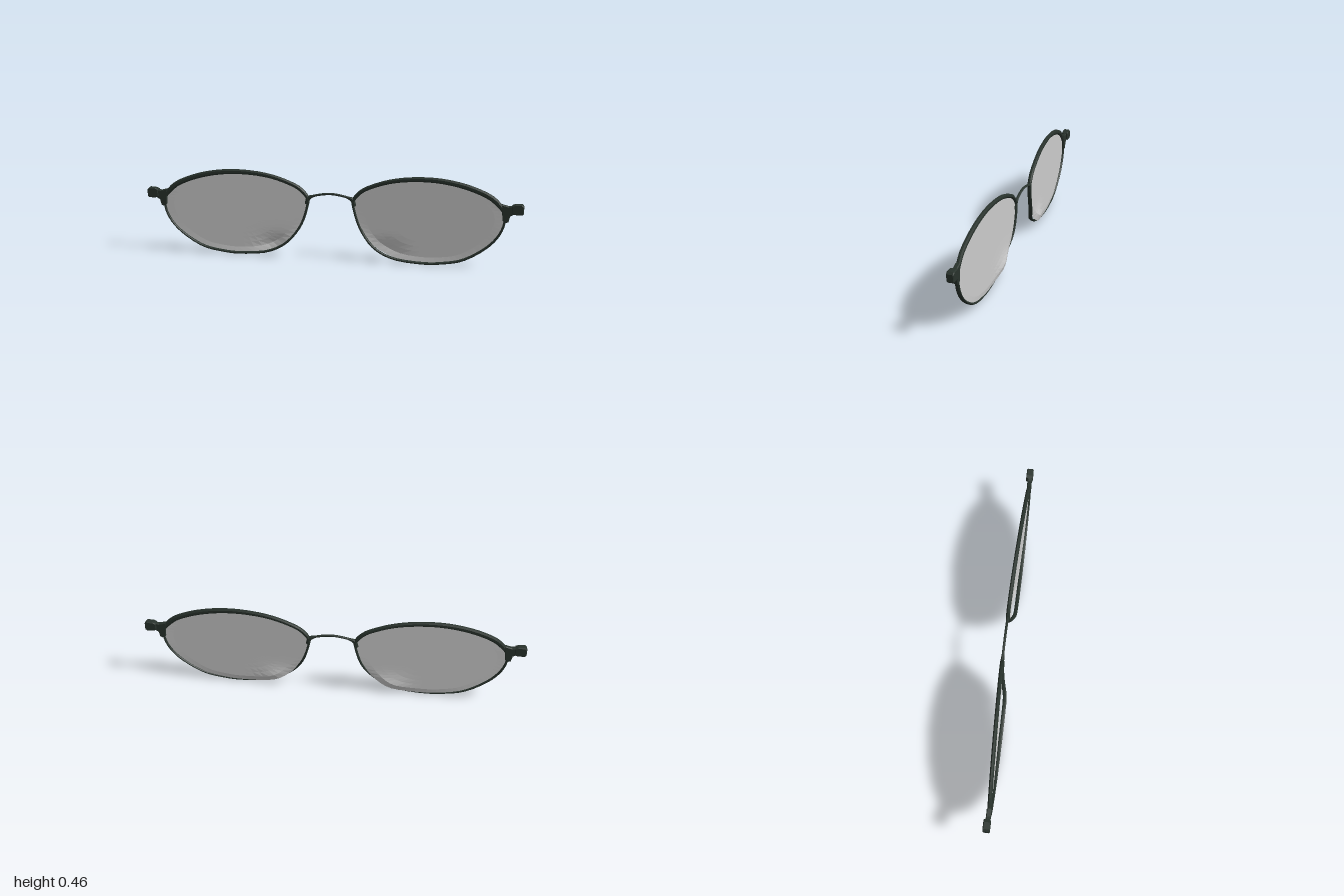
import * as THREE from 'three';

const step = THREE.MathUtils.smoothstep;
const lerp = THREE.MathUtils.lerp;

const frameMat = new THREE.MeshStandardMaterial({ color: 0x28322c, flatShading: true });
const lensMat = new THREE.MeshStandardMaterial({ color: 0xcccccc, flatShading: true, side: THREE.DoubleSide });

// Outer edge of the +x rim, from the bridge over the top and round
const outline = new THREE.CatmullRomCurve3([
  [0.115, 0.325], [0.155, 0.378], [0.24, 0.42], [0.35, 0.451], [0.5, 0.465], [0.63, 0.456],
  [0.76, 0.424], [0.86, 0.375], [0.908, 0.31], [0.91, 0.24], [0.88, 0.17], [0.82, 0.105],
  [0.7, 0.032], [0.59, 0.009], [0.5, 0.003], [0.33, 0.022], [0.23, 0.075], [0.16, 0.16], [0.125, 0.25],
].map(([x, y]) => new THREE.Vector3(x, y, 0)), true);

// The brow is thicker than the lower rim
const rimWidth = (x, y) => 0.013 + step(y, 0.27, 0.37) * (0.009 + 0.008 * step(x, 0.12, 0.8));
const wrapZ = (x) => lerp(0.137, 0.164, THREE.MathUtils.clamp((x - 0.12) / 0.75, 0, 1));
const rimZ = (x, y) => lerp(0.137 + 0.027 * step(x, 0.12, 0.25), wrapZ(x), step(y, 0.05, 0.4));
// Lens follows the wrap and bulges back at its lower inner corner
const lensZ = (x, y) => wrapZ(x) - 0.018 * Math.exp(-(((x - 0.29) / 0.08) ** 2) - (((y - 0.04) / 0.06) ** 2));

function meshFrom(name, pos, index, mat) {
  const geo = new THREE.BufferGeometry();
  geo.setAttribute('position', new THREE.Float32BufferAttribute(pos, 3));
  geo.setIndex(index);
  geo.computeVertexNormals();
  const mesh = new THREE.Mesh(geo, mat);
  mesh.name = name;
  return mesh;
}

// Sweeps a rounded section along stations { p, n, w, d } (n lies in the xy plane)
function sweep(name, stations, closed) {
  const sides = 8, pos = [], index = [], count = stations.length;
  for (const { p, n, w, d } of stations) {
    for (let j = 0; j < sides; j++) {
      const a = ((j + 0.5) / sides) * Math.PI * 2;
      const c = (Math.cos(a) * w) / 2, s = (Math.sin(a) * d) / 2;
      pos.push(p.x + n.x * c, p.y + n.y * c, p.z + s);
    }
  }
  for (let i = 0; i < (closed ? count : count - 1); i++) {
    for (let j = 0; j < sides; j++) {
      const i2 = (i + 1) % count, j2 = (j + 1) % sides;
      const a = i * sides + j, b = i2 * sides + j, c = i2 * sides + j2, d = i * sides + j2;
      index.push(a, b, d, b, c, d);
    }
  }
  return meshFrom(name, pos, index, frameMat);
}

const sideNormal = (curve, t) => {
  const g = curve.getTangent(t);
  return new THREE.Vector3(g.y, -g.x, 0).normalize();
};

function makeRim() {
  const stations = [];
  for (let i = 0; i < 64; i++) {
    const t = i / 64, p = outline.getPoint(t), n = sideNormal(outline, t);
    const w = rimWidth(p.x, p.y);
    p.addScaledVector(n, w / 2);
    p.z = rimZ(p.x, p.y);
    stations.push({ p, n, w, d: 0.022 });
  }
  return sweep('rim', stations, true);
}

// Concentric rings from the rim down to the lens centre
function makeLens() {
  const seg = 64, rings = 8, cx = 0.51, cy = 0.23, pos = [], index = [];
  for (let r = 0; r <= rings; r++) {
    for (let i = 0; i < seg; i++) {
      const t = i / seg, p = outline.getPoint(t);
      p.addScaledVector(sideNormal(outline, t), rimWidth(p.x, p.y) * 0.6);
      const x = lerp(p.x, cx, r / rings), y = lerp(p.y, cy, r / rings);
      // the outermost ring reaches toward the rim
      const z = r === 0 ? lerp(lensZ(x, y), rimZ(x, y), 0.35) : lensZ(x, y);
      pos.push(x, y, z);
      if (r < rings) {
        const a = r * seg + i, b = r * seg + ((i + 1) % seg);
        index.push(a, a + seg, b, b, a + seg, b + seg);
      }
    }
  }
  return meshFrom('lens', pos, index, lensMat);
}

function plate(name, points, z0, z1) {
  const bevel = 0.004;
  const geo = new THREE.ExtrudeGeometry(new THREE.Shape(points.map(([x, y]) => new THREE.Vector2(x, y))), {
    depth: z1 - z0 - 2 * bevel, bevelEnabled: true, bevelSize: bevel, bevelOffset: -bevel, bevelThickness: bevel, bevelSegments: 1,
  });
  geo.translate(0, 0, z0 + bevel);
  const mesh = new THREE.Mesh(geo, frameMat);
  mesh.name = name;
  return mesh;
}

function makeSide(name) {
  const side = new THREE.Group();
  side.name = name;
  side.add(makeRim(), makeLens());
  // Bracket joining the rim to the hinge
  side.add(plate('hingeBracket', [
    [0.895, 0.26], [0.912, 0.25], [0.925, 0.255], [0.932, 0.285], [0.96, 0.3],
    [0.96, 0.342], [0.925, 0.336], [0.888, 0.345],
  ], 0.152, 0.175));
  // Rounded hinge block at the outer end
  side.add(plate('hingeBlock', [
    [0.94, 0.302], [0.955, 0.295], [0.992, 0.294], [1, 0.303],
    [1, 0.338], [0.99, 0.349], [0.955, 0.347], [0.94, 0.34],
  ], 0.143, 0.179));
  return side;
}

// Thin arched bridge, flaring where it meets the rims
function makeBridge() {
  const arch = new THREE.CatmullRomCurve3([
    [-0.127, 0.29], [-0.118, 0.322], [-0.095, 0.334], [-0.05, 0.345], [0, 0.35],
    [0.05, 0.345], [0.095, 0.334], [0.118, 0.322], [0.127, 0.29],
  ].map(([x, y]) => new THREE.Vector3(x, y, 0.137)));
  const stations = [];
  for (let i = 0; i <= 36; i++) {
    const t = i / 36, p = arch.getPoint(t);
    const flare = step(Math.abs(p.x), 0.085, 0.12);
    stations.push({ p, n: sideNormal(arch, t), w: 0.012 + 0.012 * flare, d: 0.014 + 0.006 * flare });
  }
  return sweep('bridge', stations, false);
}

export function createModel() {
  const model = new THREE.Group();
  model.name = 'eyeglassesFront';
  const left = makeSide('leftSide'), right = makeSide('rightSide');
  right.scale.x = -1;
  model.add(left, right, makeBridge());
  return model;
}
